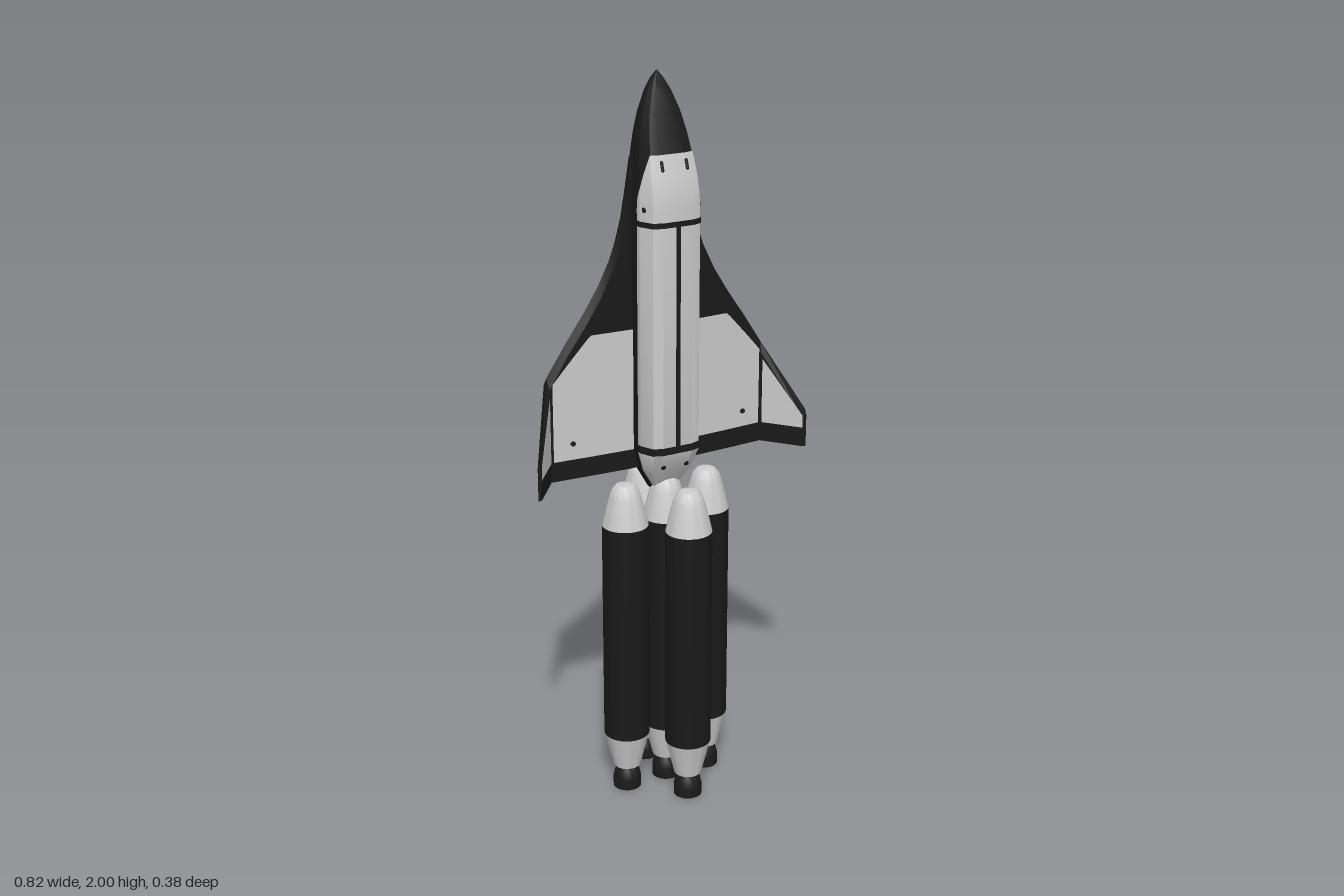
import * as THREE from 'three';
import { toCreasedNormals } from 'three/addons/utils/BufferGeometryUtils.js';

const grey = new THREE.MeshStandardMaterial({ color: 0xcccccc });
const greyThin = new THREE.MeshStandardMaterial({ color: 0xcccccc, side: THREE.DoubleSide });
const black = new THREE.MeshStandardMaterial({ color: 0x1a1a1a });
const blackThin = new THREE.MeshStandardMaterial({ color: 0x1a1a1a, side: THREE.DoubleSide });

function addMesh(parent, name, geometry, material, x = 0, y = 0, z = 0) {
  const m = new THREE.Mesh(geometry, material);
  m.name = name;
  m.position.set(x, y, z);
  parent.add(m);
  return m;
}

// Closed skin over a list of rings ([x,y,z] points); winding is fixed by signed volume
function loft(rings) {
  const n = rings[0].length, pos = rings.flat(2), idx = [];
  for (let s = 0; s < rings.length - 1; s++) {
    for (let i = 0; i < n; i++) {
      const a = s * n + i, b = s * n + (i + 1) % n;
      idx.push(a, b, b + n, a, b + n, a + n);
    }
  }
  const e = (rings.length - 1) * n;
  for (let i = 1; i < n - 1; i++) idx.push(0, i + 1, i, e, e + i, e + i + 1);
  const p = i => new THREE.Vector3().fromArray(pos, idx[i] * 3);
  let volume = 0;
  for (let i = 0; i < idx.length; i += 3) volume += p(i).dot(p(i + 1).cross(p(i + 2)));
  if (volume < 0) idx.reverse();
  const g = new THREE.BufferGeometry();
  g.setAttribute('position', new THREE.Float32BufferAttribute(pos, 3));
  g.setIndex(idx);
  return toCreasedNormals(g, 0.4);
}

// Fuselage stations: y, half width, upper z, belly z
const stations = [
  [0.88, 0.035, 0.0, -0.042], [0.945, 0.07, 0.04, -0.058], [1.0, 0.085, 0.063, -0.058],
  [1.66, 0.085, 0.063, -0.058], [1.7, 0.084, 0.06, -0.058], [1.75, 0.081, 0.049, -0.058],
  [1.8, 0.076, 0.033, -0.058], [1.85, 0.067, 0.016, -0.058], [1.9, 0.054, -0.002, -0.058],
  [1.95, 0.034, -0.021, -0.057], [1.98, 0.017, -0.035, -0.055], [2.0, 0.001, -0.046, -0.048],
];
// Half cross-section: fraction of half width, fraction of height
const profile = [[0.95, 0], [1, 0.25], [1, 0.6], [0.8, 0.92], [0.5, 1]];

function sampleTable(table, key) {
  let i = 0;
  while (i < table.length - 2 && key > table[i + 1][0]) i++;
  const a = table[i], b = table[i + 1], t = (key - a[0]) / (b[0] - a[0]);
  return a.map((v, k) => v + (b[k] - v) * t);
}

function section(y, grow = 0, cutZ = -1) {
  const [, w, top, belly] = sampleTable(stations, y);
  const h = top - belly, cut = Math.max(0, (Math.min(cutZ, top - 0.008) - belly) / h);
  const half = profile.map(([px, pf]) => {
    const f = Math.max(pf, cut);
    let x = px;
    if (f > pf) x = f < 0.25 ? 1 : f < 0.6 ? 1 : f < 0.92 ? 1 - (f - 0.6) * 0.625 : 0.8 - (f - 0.92) * 3.75;
    return [x * w + grow, y, belly + f * h + grow];
  });
  return [...half, ...half.slice().reverse().map(([x, yy, z]) => [-x, yy, z])];
}

// Lower limit of the grey upper shell, rising toward the nose
const shellCut = y => Math.max(0, (y - 1.68) * 0.25);
const shell = (ys, grow) => loft(ys.map(y => section(y, grow, shellCut(y))));

// Wing stations: x, leading edge y, upper x, upper z, lower z
const wingStations = [
  [0.05, 1.88, 0.05, -0.03, -0.058], [0.077, 1.8, 0.077, -0.028, -0.058],
  [0.088, 1.73, 0.088, -0.027, -0.058], [0.102, 1.65, 0.102, -0.027, -0.058],
  [0.12, 1.585, 0.12, -0.028, -0.058], [0.14, 1.53, 0.14, -0.029, -0.058],
  [0.175, 1.46, 0.175, -0.031, -0.058], [0.217, 1.394, 0.217, -0.033, -0.058],
  [0.275, 1.312, 0.275, -0.037, -0.058], [0.332, 1.232, 0.324, -0.04, -0.058],
  [0.412, 1.055, 0.403, 0.061, 0.06],
];
const TRAIL = 0.945;

function wing(side) {
  return loft(wingStations.map(([x, lead, ux, uz, lz]) => [
    [x * side, TRAIL, lz], [x * side, lead - 0.02, lz],
    [(x + ux) / 2 * side, lead, (uz + lz) / 2 - 0.002],
    [ux * side, lead - 0.03, uz], [ux * side, TRAIL, uz],
  ]));
}

// Thin panel from [x, z, lower y, upper y] columns
function panel(side, columns) {
  const pos = [], idx = [];
  columns.forEach(([x, z, y0, y1], i) => {
    pos.push(x * side, y0, z, x * side, y1, z);
    if (i) {
      const a = 2 * i - 2;
      if (side > 0) idx.push(a, a + 2, a + 3, a, a + 3, a + 1);
      else idx.push(a, a + 3, a + 2, a, a + 1, a + 3);
    }
  });
  const g = new THREE.BufferGeometry();
  g.setAttribute('position', new THREE.Float32BufferAttribute(pos, 3));
  g.setIndex(idx);
  return toCreasedNormals(g, 0.3);
}

const lathe = points => toCreasedNormals(
  new THREE.LatheGeometry(points.map(p => new THREE.Vector2(...p)), 40), 0.5);

function createBooster(name, x, z) {
  const b = new THREE.Group();
  b.name = name;
  b.position.set(x, 0, z);
  addMesh(b, 'nozzle', lathe([[0.022, 0.06], [0.034, 0.008], [0.039, 0], [0.039, 0.03],
    [0.034, 0.05], [0.025, 0.062], [0.025, 0.075]]), blackThin);
  addMesh(b, 'engineSkirt', lathe([[0, 0.068], [0.038, 0.068], [0.063, 0.172]]), grey);
  addMesh(b, 'tank', lathe([[0.063, 0.17], [0.0635, 0.18], [0.0635, 0.8]]), black);
  addMesh(b, 'noseCap', lathe([[0.063, 0.8], [0.054, 0.84], [0.043, 0.882], [0.036, 0.902],
    [0.025, 0.914], [0.012, 0.918], [0, 0.919]]), grey);
  return b;
}

export function createModel() {
  const model = new THREE.Group();
  model.name = 'spaceplaneOnBoosters';

  // Core stage with four boosters around it
  model.add(
    createBooster('coreStage', 0, 0),
    createBooster('leftBooster', 0.126, 0), createBooster('rightBooster', -0.126, 0),
    createBooster('frontBooster', 0, 0.123), createBooster('backBooster', 0, -0.127));

  // Spaceplane body
  const plane = new THREE.Group();
  plane.name = 'spaceplane';
  model.add(plane);
  addMesh(plane, 'fuselage', loft(stations.map(s => section(s[0]))), black);
  addMesh(plane, 'upperShell', shell([0.885, 0.945, 1, 1.66, 1.68, 1.7, 1.75, 1.8], 0.0015), grey);
  addMesh(plane, 'aftBand', shell([1.002, 1.022], 0.003), black);
  addMesh(plane, 'forwardBand', shell([1.618, 1.632], 0.003), black);
  addMesh(plane, 'spineStripe', new THREE.BoxGeometry(0.012, 0.6, 0.004), black, 0, 1.32, 0.0645);

  for (const side of [1, -1]) {
    const label = side > 0 ? 'left' : 'right';
    addMesh(plane, label + 'Wing', wing(side), black);

    // Grey panels on the wing and the folded-up tip
    addMesh(plane, label + 'WingPanel', panel(side, [
      [0.084, -0.0245, 1, 1.335], [0.205, -0.0305, 1, 1.335], [0.217, -0.0315, 1, 1.325],
      [0.275, -0.0355, 1, 1.262], [0.317, -0.038, 1, 1.215]]), greyThin);
    addMesh(plane, label + 'WingletPanel', panel(side, [
      [0.326, -0.035, 1, 1.185], [0.4, 0.0595, 1, 1.035]]), greyThin);

    // Thruster ports and windows
    const port = new THREE.CylinderGeometry(0.007, 0.007, 0.006, 12);
    addMesh(plane, label + 'WingPort', port, black, side * 0.262, 1.045, -0.034).rotation.x = Math.PI / 2;
    addMesh(plane, label + 'TailPort', port, black, side * 0.035, 0.962, 0.047).rotation.x = Math.PI / 2 + 0.4;
    addMesh(plane, label + 'SideWindow', port, black, side * 0.08, 1.663, 0.028).rotation.z = Math.PI / 2;
    const pane = addMesh(plane, label + 'FrontWindow',
      new THREE.CapsuleGeometry(0.005, 0.02, 4, 10), black, side * 0.036, 1.772, 0.042);
    pane.rotation.x = -0.3;
  }
  return model;
}
